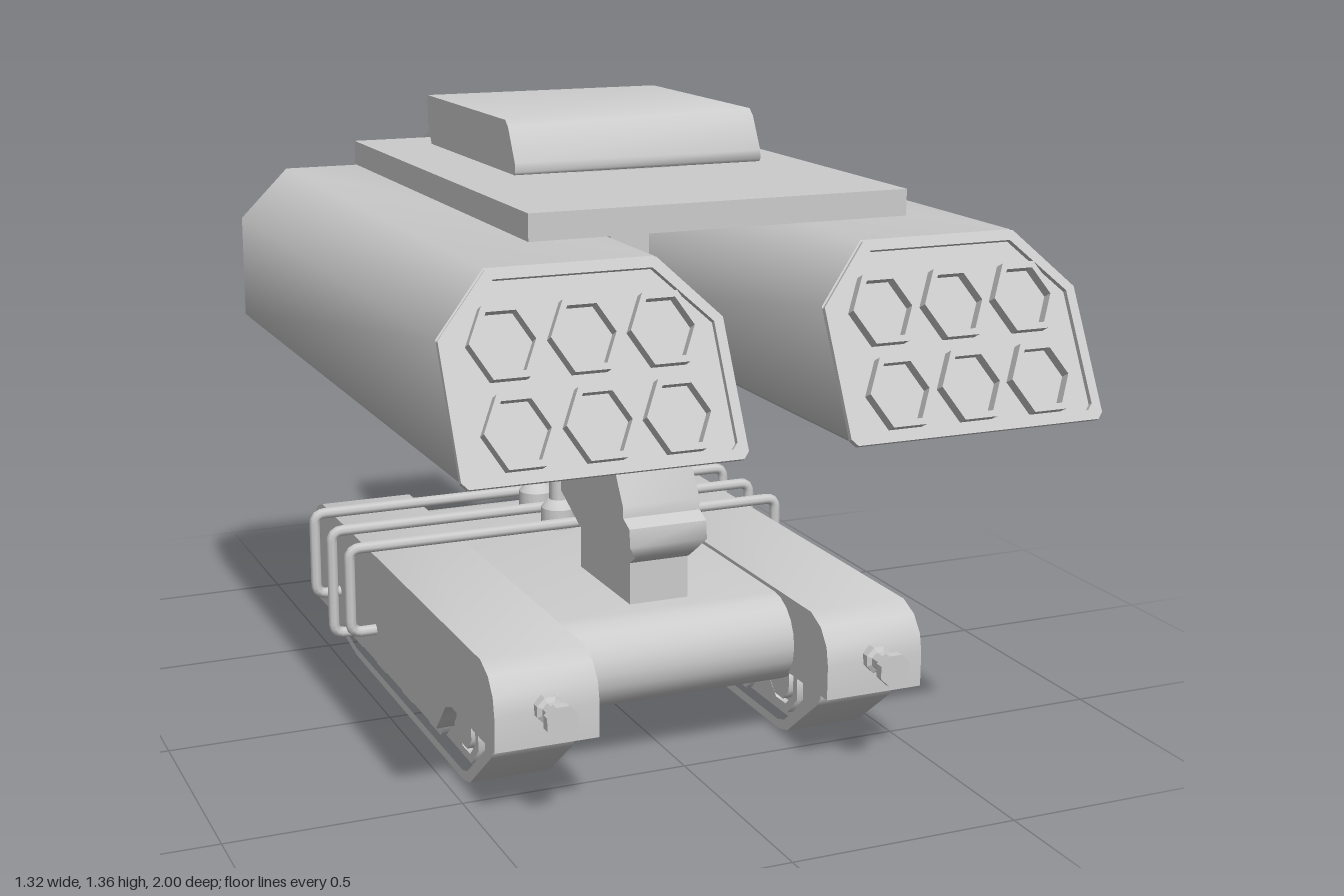
import * as THREE from 'three';
import { toCreasedNormals } from 'three/addons/utils/BufferGeometryUtils.js';

const mat = new THREE.MeshStandardMaterial({ color: 0xcccccc });
const flat = new THREE.MeshStandardMaterial({ color: 0xcccccc, flatShading: true });

function mesh(name, geo, parent, material = mat) {
  const m = new THREE.Mesh(geo, material);
  m.name = name;
  parent.add(m);
  return m;
}

const polygon = (pts, holes = []) => {
  const s = new THREE.Shape(pts.map(p => new THREE.Vector2(...p)));
  s.holes = holes.map(h => new THREE.Path(h.map(p => new THREE.Vector2(...p))));
  return s;
};

const extrude = (shape, depth) =>
  new THREE.ExtrudeGeometry(shape, { depth, bevelEnabled: false, curveSegments: 8 });

// Side profile in (z, y), given a width along x and centred on x
function sideSlab(pts, width, x = 0, holes = []) {
  const g = extrude(polygon(pts, holes), width);
  g.translate(0, 0, -width / 2).rotateY(-Math.PI / 2).translate(x, 0, 0);
  return toCreasedNormals(g, 0.85);
}

function box(name, parent, x0, x1, y0, y1, z0, z1) {
  const g = new THREE.BoxGeometry(x1 - x0, y1 - y0, z1 - z0);
  g.translate((x0 + x1) / 2, (y0 + y1) / 2, (z0 + z1) / 2);
  return mesh(name, g, parent);
}

const ngon = (n, r, cx = 0, cy = 0, a0 = 0) =>
  Array.from({ length: n }, (_, i) => {
    const a = a0 + (i / n) * Math.PI * 2;
    return [cx + r * Math.cos(a), cy + r * Math.sin(a)];
  });

// Launcher pod with a slanted muzzle face carrying six hexagonal tubes
function launcherPod(side) {
  const pod = new THREE.Group();
  pod.name = side > 0 ? 'leftLauncherPod' : 'rightLauncherPod';
  const H = 0.35, run = 0.18, w = 0.277;
  const outline = [[-w + 0.012, 0], [w - 0.012, 0], [w, 0.012], [w, 0.24], [w - 0.11, H],
    [-w + 0.11, H], [-w, 0.24], [-w, 0.012]];
  const inset = outline.map(([x, y]) => [x * 0.93, (y - H / 2) * 0.9 + H / 2]);

  const body = extrude(polygon(outline), 1);
  const p = body.attributes.position;
  for (let i = 0; i < p.count; i++)
    p.setZ(i, p.getZ(i) < 0.5 ? -0.565 : 0.988 - p.getY(i) * run / H);
  mesh('podBody', toCreasedNormals(body, 0.85), pod);

  const face = new THREE.Group();
  face.name = 'muzzleFace';
  face.position.z = 1;
  face.rotation.x = -Math.atan2(run, H);
  face.scale.y = Math.hypot(run, H) / H;
  pod.add(face);
  const rim = extrude(polygon(outline, [inset]), 0.012);
  mesh('muzzleRim', rim.translate(0, 0, -0.012), face);
  for (const y of [0.083, 0.228])
    for (const x of [-0.155, 0, 0.155]) {
      const hex = extrude(polygon(ngon(6, 0.07, x, y), [ngon(6, 0.057, x, y)]), 0.024);
      mesh('launchTube', hex.translate(0, 0, -0.012), face);
    }
  pod.position.set(side * 0.383, 0.82, 0);
  return pod;
}

// Track unit: fender, belt, wheels and front lamp
function trackUnit(side) {
  const unit = new THREE.Group();
  unit.name = side > 0 ? 'leftTrack' : 'rightTrack';
  const fender = [[0.65, 0.165], [0.65, 0.24], [0.642, 0.28], [0.615, 0.315], [0.57, 0.335],
    [-0.59, 0.335], [-0.635, 0.318], [-0.668, 0.285], [-0.682, 0.24], [-0.688, 0.17],
    [-0.688, 0.077], [0.28, 0.077], [0.31, 0.11], [0.345, 0.15], [0.385, 0.165]];
  mesh('fender', sideSlab(fender, 0.224), unit);

  const belt = [[0.58, 0.17], [0.58, 0.14], [0.56, 0.115], [0.43, 0.01], [0.39, 0],
    [-0.4, 0.004], [-0.5, 0.02], [-0.66, 0.08], [-0.66, 0.17]];
  const inner = [[0.55, 0.165], [0.55, 0.14], [0.415, 0.03], [0.385, 0.02],
    [-0.4, 0.022], [-0.49, 0.037], [-0.62, 0.085], [-0.62, 0.165]];
  mesh('trackBelt', sideSlab(belt, 0.178, 0, [inner]), unit);
  mesh('trackWeb', sideSlab(inner, 0.12), unit);
  [0.37, 0.16, -0.04, -0.24, -0.43].forEach((z, i) => {
    const y = 0.115;
    const rim = ngon(8, i ? 0.098 : 0.082, z, y, Math.PI / 8);
    mesh('roadWheelRim', sideSlab(rim, 0.15, 0, [ngon(8, 0.062, z, y, Math.PI / 8)]), unit);
    mesh('roadWheelHub', sideSlab(ngon(8, 0.05, z, y, Math.PI / 8), 0.16), unit);
  });

  const lampProfile = [[0.03, 0], [0.03, 0.02], [0.02, 0.025], [0.02, 0.065], [0.036, 0.07],
    [0.036, 0.09], [0, 0.09]].map(q => new THREE.Vector2(...q));
  const lamp = new THREE.LatheGeometry(lampProfile, 8, Math.PI / 8);
  lamp.rotateX(Math.PI / 2).translate(0, 0.245, 0.645);
  mesh('frontLamp', lamp, unit, flat);
  unit.position.x = side * 0.37;
  return unit;
}

// Rail running across the top and down both flanks
function rail(z, low) {
  const pts = [[0.47, low], [0.54, low], [0.54, 0.355], [-0.54, 0.355], [-0.54, low], [-0.47, low]]
    .map(([x, y]) => new THREE.Vector3(x, y, z));
  const path = new THREE.CurvePath();
  let from = pts[0];
  for (let i = 1; i < pts.length - 1; i++) {
    const c = pts[i];
    const a = c.clone().add(pts[i - 1].clone().sub(c).setLength(0.025));
    const b = c.clone().add(pts[i + 1].clone().sub(c).setLength(0.025));
    path.add(new THREE.LineCurve3(from, a));
    path.add(new THREE.QuadraticBezierCurve3(a, c, b));
    from = b;
  }
  path.add(new THREE.LineCurve3(from, pts[5]));
  return new THREE.TubeGeometry(path, 160, 0.013, 8);
}

export function createModel() {
  const model = new THREE.Group();
  model.name = 'trackedLauncher';

  for (const side of [1, -1]) model.add(launcherPod(side), trackUnit(side));

  // Central hull with rounded ends
  const hull = [];
  for (const [cz, a0] of [[0.4, -Math.PI / 2], [-0.45, Math.PI / 2]])
    for (let i = 0; i <= 10; i++) {
      const a = a0 + (i / 10) * Math.PI;
      hull.push([cz + 0.098 * Math.cos(a), 0.229 + 0.098 * Math.sin(a)]);
    }
  mesh('hull', sideSlab(hull, 0.53), model);

  for (const [z, low] of [[-0.155, 0.155], [-0.3, 0.105], [-0.45, 0.155]])
    mesh('handRail', rail(z, low), model);

  // Neck: pedestal, leaning arm and upper spine
  const neck = new THREE.Group();
  neck.name = 'neck';
  model.add(neck);
  mesh('pedestal', sideSlab([[0.36, 0.3], [0.36, 0.44], [0.08, 0.44], [0.08, 0.3]], 0.135), neck);
  const arm = [[0.36, 0.42], [0.39, 0.44], [0.41, 0.47], [0.405, 0.51], [0.372, 0.525], [0.37, 0.55],
    [0.195, 0.825], [-0.4, 0.825], [-0.22, 0.695], [0.015, 0.537], [0.015, 0.49], [0.08, 0.42]];
  const armGeo = sideSlab(arm, 0.178);
  const ap = armGeo.attributes.position;
  for (let i = 0; i < ap.count; i++) if (ap.getY(i) < 0.45) ap.setX(i, ap.getX(i) * 0.77);
  mesh('arm', armGeo, neck);
  box('spine', neck, -0.045, 0.045, 0.8, 1.19, -0.4, 0.195);

  // Rear pistons
  for (const z of [-0.23, -0.38]) {
    const prof = [[0, 0.3], [0.042, 0.3], [0.042, 0.375], [0.03, 0.39], [0.022, 0.395],
      [0.022, 0.48], [0.04, 0.48], [0.04, 0.76], [0, 0.76]].map(q => new THREE.Vector2(...q));
    const g = toCreasedNormals(new THREE.LatheGeometry(prof, 16), 0.6);
    mesh('piston', g.translate(0, 0, z), model);
  }

  // Octagonal rear ring, stepped on both faces
  const half = [[0.406, 0.13], [0.335, 0.13], [0.335, 0.095], [0.24, 0.095], [0.24, 0.055], [0.132, 0.055]];
  const loop = [...half, ...half.map(([r, x]) => [r, -x]).reverse(), half[0]];
  const ring = new THREE.LatheGeometry(loop.map(q => new THREE.Vector2(...q)), 8);
  mesh('rearRing', ring.rotateZ(Math.PI / 2).translate(0, 0.882, -0.592), model, flat);

  // Roof deck and hatch
  box('deckPlate', model, -0.405, 0.405, 1.183, 1.237, -0.487, 0.655);
  box('hatchPad', model, -0.12, 0.12, 1.23, 1.25, -0.28, 0.19);
  const hatch = [[0.245, 1.247], [0.25, 1.253], [0.248, 1.272], [0.21, 1.342], [0.193, 1.355],
    [-0.318, 1.355], [-0.318, 1.295], [-0.295, 1.247]];
  mesh('hatch', sideSlab(hatch, 0.56), model);
  box('hatchLatch', model, -0.063, 0.063, 1.247, 1.342, -0.425, -0.3);

  return model;
}
